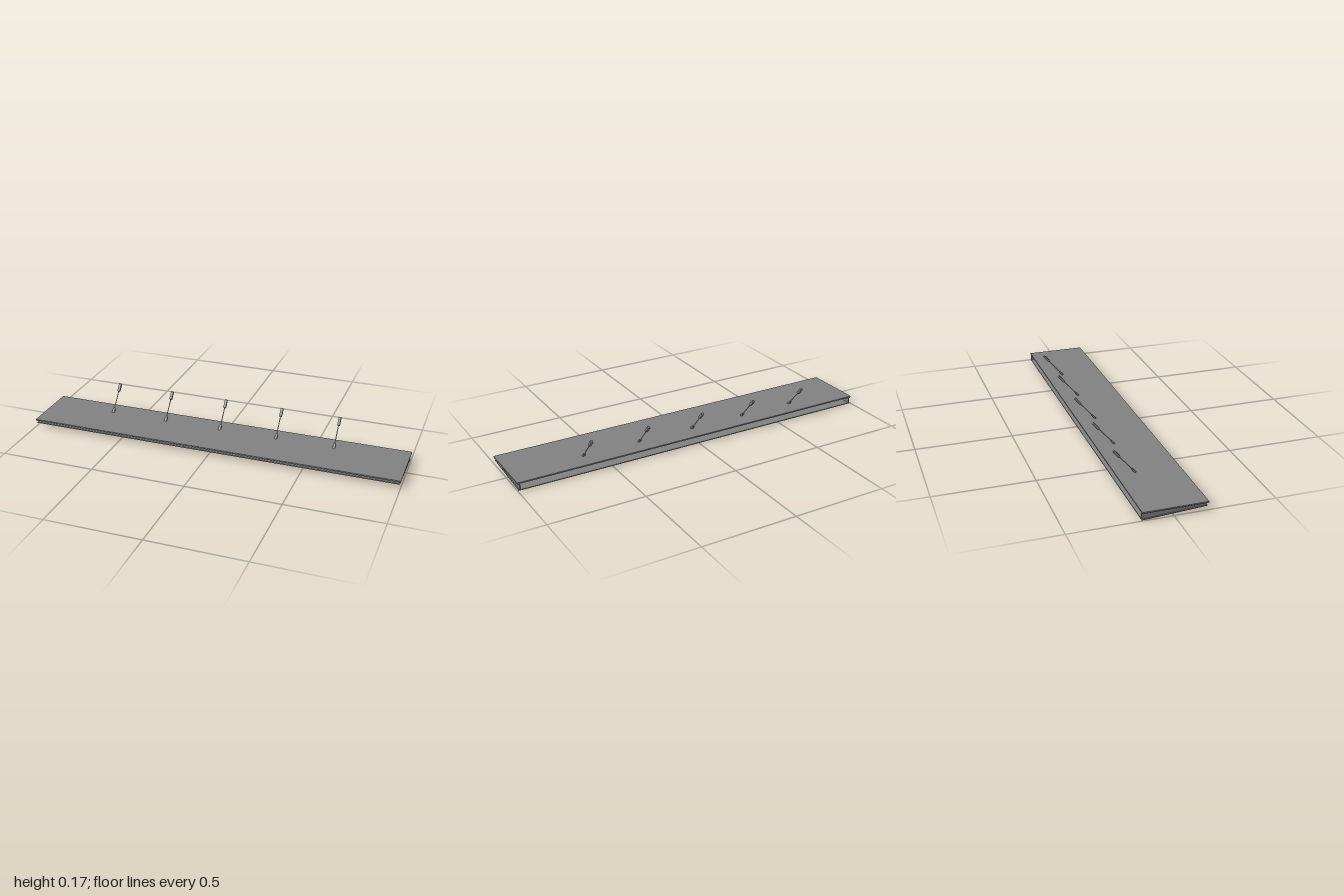
import * as THREE from 'three';

export function createModel() {
  const model = new THREE.Group();
  function material(name, color) {
    const m = new THREE.MeshStandardMaterial({ color });
    m.name = name;
    return m;
  }
  const grey = material('grey metal', 0x808080);
  const steel = material('bright steel', 0xcccccc);
  const white = material('white trim', 0xeeeeee);

  function add(name, geometry, mat = grey, parent = model) {
    const mesh = new THREE.Mesh(geometry, mat);
    mesh.name = name;
    parent.add(mesh);
    return mesh;
  }

  const BACK = -0.15;
  // underside falls from the front edge to the back edge
  const slope = (z) => 0.019 * (z - BACK) / (0.163 - BACK);

  function rectangle(Type, halfX, z0, z1) {
    return new Type([
      new THREE.Vector2(-halfX, z0), new THREE.Vector2(halfX, z0),
      new THREE.Vector2(halfX, z1), new THREE.Vector2(-halfX, z1),
    ]);
  }

  // rectangular ring with a border of the given width
  function ring(halfX, z0, z1, border) {
    const shape = rectangle(THREE.Shape, halfX, z0, z1);
    shape.holes.push(rectangle(THREE.Path, halfX - border, z0 + border, z1 - border));
    return shape;
  }

  // horizontal plate sheared to follow the underside slope
  function slopedPlate(shape, lift, thickness) {
    const g = new THREE.ExtrudeGeometry(shape, { depth: thickness, bevelEnabled: false });
    g.rotateX(Math.PI / 2);
    const p = g.attributes.position;
    for (let i = 0; i < p.count; i++) {
      p.setY(i, p.getY(i) + slope(p.getZ(i)) + lift + thickness);
    }
    g.computeVertexNormals();
    return g;
  }

  function block(name, w, h, d, x, y, z) {
    return add(name, new THREE.BoxGeometry(w, h, d).translate(x, y, z));
  }

  // roof slab and the narrow flange beneath its front and sides
  block('roofSlab', 2, 0.007, 0.318, 0, 0.0395, 0.009);
  block('topFlangeFront', 1.99, 0.004, 0.008, 0, 0.034, 0.158);
  for (const s of [-1, 1]) {
    block('topFlangeSide', 0.01, 0.004, 0.304, s * 0.99, 0.034, 0.002);
  }

  // lower frame around a recessed soffit with a light lining
  add('lowerFrame', slopedPlate(ring(0.995, BACK, 0.161, 0.053), 0, 0.004));
  add('recessLining', slopedPlate(ring(0.942, -0.097, 0.108, 0.002), 0.0005, 0.0065), white);
  add('soffitPanel', slopedPlate(rectangle(THREE.Shape, 0.945, -0.1, 0.111), 0.007, 0.002));

  // front web and tapering side webs; the back stays open
  block('frontWeb', 1.98, 0.016, 0.005, 0, 0.028, 0.1555);
  for (const s of [-1, 1]) {
    const side = new THREE.Shape([
      new THREE.Vector2(BACK, slope(BACK) + 0.003), new THREE.Vector2(0.158, slope(0.158) + 0.003),
      new THREE.Vector2(0.158, 0.036), new THREE.Vector2(BACK, 0.036),
    ]);
    const g = new THREE.ExtrudeGeometry(side, { depth: 0.005, bevelEnabled: false });
    g.rotateY(-Math.PI / 2); // shape x becomes z, depth runs to -x
    add('sideWeb', g.translate(s * 0.99 + (s > 0 ? 0 : 0.005), 0, 0));
  }

  // tie rods leaning back toward the wall
  const foot = new THREE.Vector3(0, 0.04, -0.052);
  const tip = new THREE.Vector3(0, 0.17, -0.163);
  const axis = tip.clone().sub(foot);
  const length = axis.length();
  for (let i = 0; i < 5; i++) {
    const rod = new THREE.Group();
    rod.name = 'tieRod';
    rod.position.copy(foot).setX(-0.638 + i * 0.3128);
    rod.rotation.x = Math.atan2(axis.z, axis.y);
    const part = (name, geometry, y, mat) => add(name, geometry.translate(0, y, 0), mat, rod);
    part('lowerBracket', new THREE.BoxGeometry(0.012, 0.028, 0.009), 0.014, grey);
    part('lowerCollar', new THREE.CylinderGeometry(0.003, 0.0045, 0.004, 12), 0.03, grey);
    part('rodShaft', new THREE.CylinderGeometry(0.0025, 0.0025, 0.1, 12), 0.08, steel);
    part('upperCollar', new THREE.CylinderGeometry(0.0055, 0.003, 0.004, 12), length - 0.046, grey);
    part('upperBracket', new THREE.BoxGeometry(0.013, 0.044, 0.013), length - 0.022, grey);
    model.add(rod);
  }

  return model;
}
